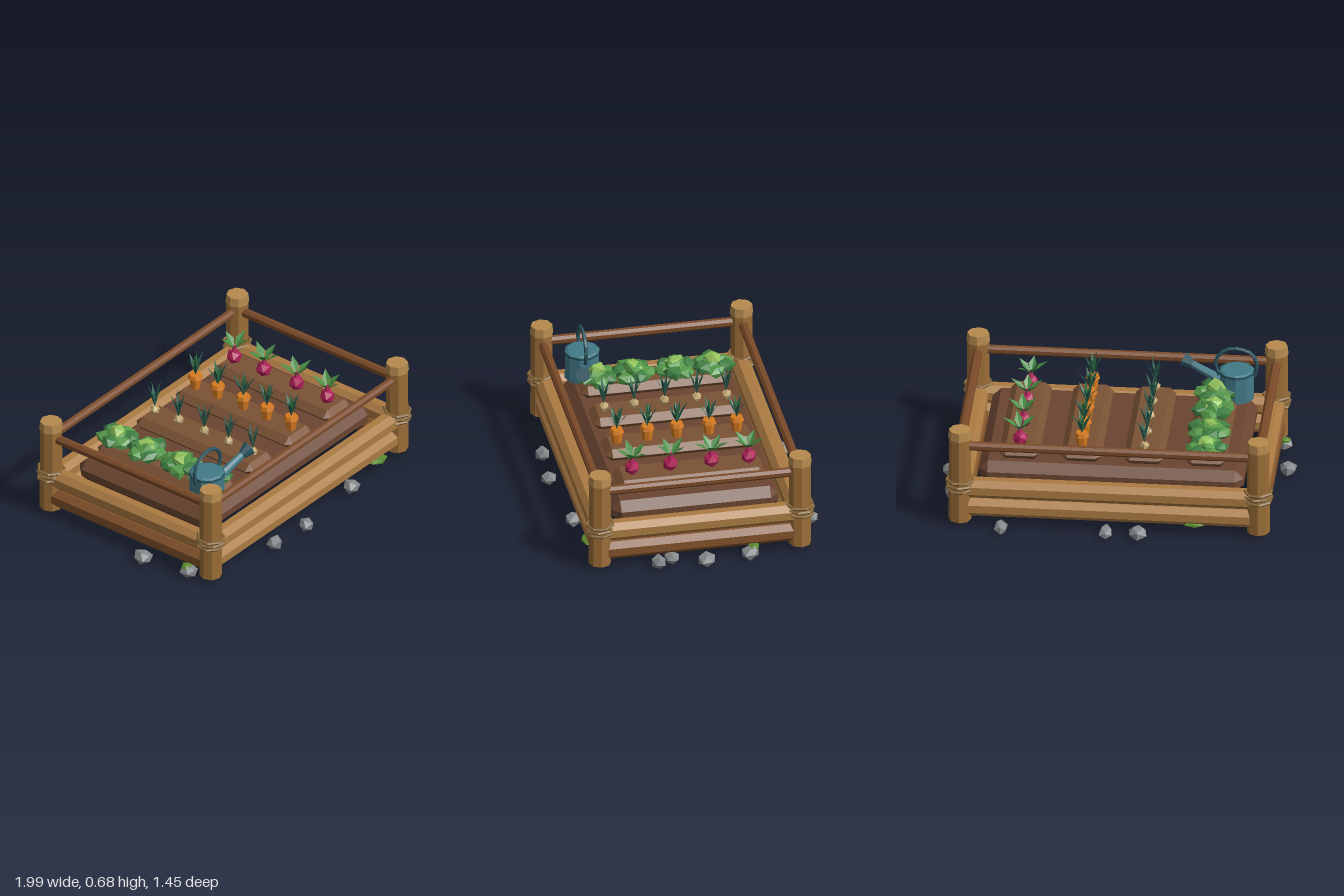
import * as THREE from 'three';
import { ConvexGeometry } from 'three/addons/geometries/ConvexGeometry.js';

const mat = (color, side = THREE.FrontSide) =>
  new THREE.MeshStandardMaterial({ color, flatShading: true, side });
const M = {
  post: mat(0x9c6e38), cap: mat(0xb58a4e), log: mat(0xab7b42), darkLog: mat(0x83522b),
  rail: mat(0x7a4a28), rope: mat(0x8a6a3c), soil: mat(0x6b4530), bed: mat(0x7a5234),
  can: mat(0x437a88), canDark: mat(0x2a5560), stone: mat(0x85888a), moss: mat(0x5a8a30),
  cabbage: mat(0x3f7f42), cabbageMid: mat(0x569a4a), cabbageHeart: mat(0x93c25a),
  bulb: mat(0xc2a672), carrot: mat(0xd67a20), beet: mat(0xb02058),
  spike: mat(0x245a4c, THREE.DoubleSide), frond: mat(0x2f6e44, THREE.DoubleSide),
  beetLeaf: mat(0x438a40, THREE.DoubleSide),
};

function add(parent, name, geometry, material, x = 0, y = 0, z = 0) {
  const mesh = new THREE.Mesh(geometry, material);
  mesh.name = name;
  mesh.position.set(x, y, z);
  parent.add(mesh);
  return mesh;
}

function group(parent, name, x = 0, y = 0, z = 0) {
  const g = new THREE.Group();
  g.name = name;
  g.position.set(x, y, z);
  parent.add(g);
  return g;
}

// Box with every edge chamfered
function chamferBox(w, h, d, b) {
  const pts = [];
  for (const sx of [-1, 1]) for (const sy of [-1, 1]) for (const sz of [-1, 1])
    for (let k = 0; k < 3; k++)
      pts.push(new THREE.Vector3(
        sx * (w / 2 - (k === 0 ? 0 : b)),
        sy * (h / 2 - (k === 1 ? 0 : b)),
        sz * (d / 2 - (k === 2 ? 0 : b))));
  return new ConvexGeometry(pts);
}

// Faceted lump with uneven corners
function lump(r, seed, rough = 0.18) {
  const g = new THREE.IcosahedronGeometry(r, 0), p = g.attributes.position;
  for (let i = 0; i < p.count; i++) {
    const v = new THREE.Vector3().fromBufferAttribute(p, i).divideScalar(r);
    const n = Math.sin(Math.round(v.x * 50) * 1.7 + Math.round(v.y * 50) * 2.3 + Math.round(v.z * 50) * 3.1 + seed * 4.7);
    v.multiplyScalar(r * (1 + rough * n));
    p.setXYZ(i, v.x, v.y, v.z);
  }
  g.computeVertexNormals();
  return g;
}

// Folded leaf that rises and reaches out along +x
function leaf(out, up, w) {
  const g = new THREE.BufferGeometry();
  const mx = out * 0.45, my = up * 0.6;
  g.setAttribute('position', new THREE.Float32BufferAttribute([
    0, 0, 0, mx, my, w, mx, my - w * 0.4, 0, mx, my, w, out, up, 0, mx, my - w * 0.4, 0,
    0, 0, 0, mx, my - w * 0.4, 0, mx, my, -w, mx, my, -w, mx, my - w * 0.4, 0, out, up, 0], 3));
  g.computeVertexNormals();
  return g;
}

function leaves(parent, count, y, out, up, w, material, turn) {
  for (let i = 0; i < count; i++) {
    const k = 1 - 0.22 * (i % 3) / 2;
    add(parent, 'leaf', leaf(out * k, up * (1.05 - 0.1 * (i % 2)), w), material, 0, y, 0)
      .rotation.y = turn + i * 2 * Math.PI / count;
  }
}

// Round timber lying along x or z
function timber(parent, name, r, length, alongX, material, x, y, z) {
  const g = new THREE.CylinderGeometry(r, r, length, 8);
  g.rotateY(Math.PI / 8);
  if (alongX) g.rotateZ(Math.PI / 2); else g.rotateX(Math.PI / 2);
  return add(parent, name, g, material, x, y, z);
}

function buildFrame(root) {
  const frame = group(root, 'frame');
  for (const sx of [-1, 1]) for (const sz of [-1, 1]) {
    const post = group(frame, 'cornerPost', sx * 0.845, 0, sz * 0.575);
    add(post, 'postShaft', new THREE.CylinderGeometry(0.063, 0.065, 0.52, 8), M.post, 0, 0.30, 0);
    add(post, 'postCap', new THREE.CylinderGeometry(0.062, 0.068, 0.052, 8), M.cap, 0, 0.584, 0);
    // Rope wound three times round the post
    for (let i = 0; i < 3; i++) {
      const ring = new THREE.TorusGeometry(0.077, 0.009, 5, 7);
      ring.rotateX(Math.PI / 2);
      const rope = add(post, 'ropeRing', ring, M.rope, 0, 0.242 + i * 0.025, 0);
      rope.rotation.set(0.04 * (i - 1), i * 0.5 + sx, 0.03 * sz);
    }
  }
  for (const s of [-1, 1]) {
    timber(frame, 'lowerLongLog', 0.06, 1.6, true, M.log, 0, 0.122, s * 0.563);
    timber(frame, 'upperLongLog', 0.06, 1.6, true, M.log, 0, 0.237, s * 0.563);
    timber(frame, 'lowerSideLog', 0.06, 1.08, false, M.darkLog, s * 0.838, 0.119, 0);
    timber(frame, 'upperSideLog', 0.06, 1.08, false, M.log, s * 0.838, 0.24, 0);
    timber(frame, 'longRail', 0.026, 1.62, true, M.rail, 0, 0.506, s * 0.575);
    timber(frame, 'sideRail', 0.028, 1.08, false, M.rail, s * 0.845, 0.504, 0);
  }
}

function buildCabbage(parent, z, n) {
  const c = group(parent, 'cabbage', -0.53, 0.43, z);
  c.rotation.y = n * 0.7;
  for (let i = 0; i < 6; i++) {
    const a = i * Math.PI / 3;
    const l = add(c, 'outerLeaf', lump(0.06, n + i), i % 2 ? M.cabbage : M.cabbageMid,
      0.07 * Math.cos(a), 0.008 * (i % 2), 0.07 * Math.sin(a));
    l.scale.y = 0.6;
    l.rotation.y = a;
  }
  add(c, 'innerLeaves', lump(0.075, n), M.cabbageMid, 0, 0.015, 0).scale.y = 0.75;
  add(c, 'heart', lump(0.055, n + 3), M.cabbageHeart, 0, 0.04, 0).scale.y = 0.7;
}

function buildBulb(parent, z, n) {
  const b = group(parent, 'bulbPlant', -0.18, 0.41, z);
  add(b, 'bulb', lump(0.03, n, 0.08), M.bulb, 0, 0.028, 0);
  leaves(b, 6, 0.045, 0.055, 0.145, 0.009, M.spike, n * 0.8);
}

function buildCarrot(parent, z, n) {
  const c = group(parent, 'carrotPlant', 0.175, 0.40, z);
  add(c, 'carrotRoot', new THREE.CylinderGeometry(0.035, 0.026, 0.08, 7), M.carrot, 0, 0.04, 0);
  add(c, 'carrotShoulder', new THREE.CylinderGeometry(0.036, 0.044, 0.022, 7), M.carrot, 0, 0.088, 0);
  leaves(c, 5, 0.095, 0.07, 0.12, 0.011, M.spike, n * 0.9);
  leaves(c, 4, 0.095, 0.03, 0.135, 0.009, M.frond, n * 0.9 + 0.4);
}

function buildBeet(parent, z, n) {
  const b = group(parent, 'beetPlant', 0.525, 0.41, z);
  add(b, 'beetRoot', lump(0.046, n, 0.06), M.beet, 0, 0.036, 0);
  add(b, 'beetCrown', new THREE.CylinderGeometry(0.008, 0.02, 0.04, 6), M.beet, 0, 0.085, 0);
  leaves(b, 5, 0.085, 0.1, 0.075, 0.024, M.beetLeaf, n * 1.1);
}

function buildWateringCan(root) {
  const can = group(root, 'wateringCan', -0.637, 0, 0.383);
  add(can, 'canBody', new THREE.CylinderGeometry(0.098, 0.1, 0.165, 10), M.can, 0, 0.458, 0);
  add(can, 'canRim', new THREE.CylinderGeometry(0.102, 0.102, 0.014, 10), M.canDark, 0, 0.538, 0);
  add(can, 'canLid', new THREE.CylinderGeometry(0.085, 0.1, 0.008, 10), M.can, 0, 0.548, 0);
  // Hoop handle
  const pts = [[-0.1, 0.51], [-0.115, 0.58], [-0.085, 0.65], [-0.03, 0.675], [0.03, 0.68],
    [0.09, 0.65], [0.122, 0.59], [0.1, 0.51]].map(([x, y]) => new THREE.Vector3(x, y, 0));
  const hoop = new THREE.CatmullRomCurve3(pts);
  add(can, 'canHandle', new THREE.TubeGeometry(hoop, 12, 0.011, 6), M.canDark);
  // Spout and sprinkler head
  const from = new THREE.Vector3(0.06, 0.455, 0.01), to = new THREE.Vector3(0.31, 0.572, 0.056);
  const dir = to.clone().sub(from), length = dir.length();
  const spout = group(can, 'spout', from.x, from.y, from.z);
  spout.quaternion.setFromUnitVectors(new THREE.Vector3(0, 1, 0), dir.normalize());
  add(spout, 'spoutPipe', new THREE.CylinderGeometry(0.02, 0.032, length, 8), M.can, 0, length / 2 - 0.02, 0);
  add(spout, 'spoutHead', new THREE.CylinderGeometry(0.044, 0.024, 0.06, 8), M.canDark, 0, length - 0.03, 0);
}

function buildStones(root) {
  const stones = group(root, 'stones');
  // x, z, half sizes in x, y and z
  [[-0.17, -0.67, 0.055, 0.04, 0.065], [0.01, -0.67, 0.04, 0.035, 0.07], [0.605, -0.675, 0.042, 0.042, 0.06],
    [0.915, -0.27, 0.05, 0.04, 0.055], [0.945, -0.02, 0.053, 0.042, 0.055], [0.925, 0.25, 0.05, 0.042, 0.045],
    [0.88, 0.17, 0.05, 0.038, 0.05], [-0.945, 0.17, 0.053, 0.042, 0.06], [-0.9, 0.46, 0.05, 0.04, 0.05],
    [-0.375, 0.66, 0.05, 0.042, 0.045], [-0.11, 0.68, 0.046, 0.04, 0.05], [0.36, 0.635, 0.05, 0.042, 0.05],
  ].forEach(([x, z, w, h, d], i) => {
    const s = add(stones, 'stone', lump(1, i + 1, 0.12), M.stone, x, h + 0.006, z);
    s.scale.set(w, h, d);
  });
  // Flat moss tufts
  [[-0.9, 0.45, 0.04], [0.635, 0.59, 0.07], [-0.485, -0.58, 0.06], [0.89, -0.3, 0.045]].forEach(([x, z, r], i) => {
    add(stones, 'moss', lump(1, i + 20, 0.12), M.moss, x, 0.072, z).scale.set(r, 0.018, r * 0.8);
  });
}

export function createModel() {
  const root = new THREE.Group();
  root.name = 'gardenBed';
  buildFrame(root);

  // Soil with four planting ridges
  add(root, 'soil', chamferBox(1.5, 0.14, 0.96, 0.05), M.soil, 0, 0.27, 0);
  for (const x of [-0.53, -0.18, 0.175, 0.525])
    add(root, 'plantingRidge', chamferBox(0.23, 0.076, 0.85, 0.037), M.bed, x, 0.373, 0);

  const crops = group(root, 'crops');
  [-0.345, -0.13, 0.11, 0.32].forEach((z, i) => buildCabbage(crops, z, i));
  [-0.355, -0.185, 0, 0.175, 0.35].forEach((z, i) => buildBulb(crops, z, i));
  [-0.345, -0.185, 0, 0.17, 0.345].forEach((z, i) => buildCarrot(crops, z, i));
  [-0.342, -0.13, 0.105, 0.327].forEach((z, i) => buildBeet(crops, z, i));

  buildWateringCan(root);
  buildStones(root);
  return root;
}
